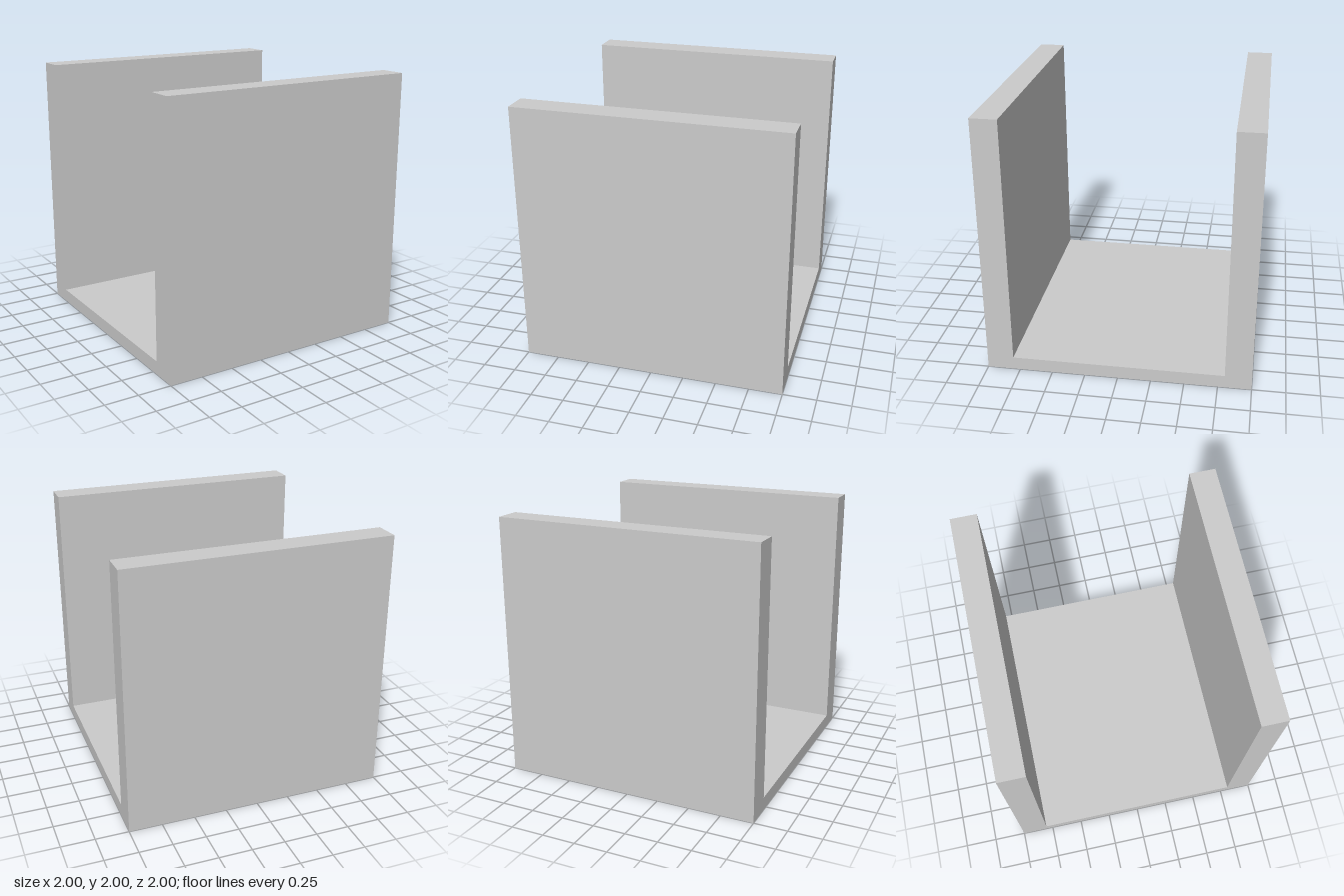
import * as THREE from 'three';

const SIZE = 2;    // outer width, height and depth
const WALL = 0.2;  // side wall thickness
const FLOOR = 0.1; // base thickness

export function createModel() {
  const group = new THREE.Group();
  group.name = 'channelBracket';

  // U-shaped cross-section, seen along the x axis
  const outer = SIZE / 2;
  const inner = outer - WALL;
  const profile = new THREE.Shape([
    [-outer, 0], [outer, 0], [outer, SIZE], [inner, SIZE],
    [inner, FLOOR], [-inner, FLOOR], [-inner, SIZE], [-outer, SIZE],
  ].map(([z, y]) => new THREE.Vector2(z, y)));

  // Extrude the section and turn it to run along x
  const geometry = new THREE.ExtrudeGeometry(profile, { depth: SIZE, bevelEnabled: false });
  geometry.translate(0, 0, -SIZE / 2).rotateY(Math.PI / 2);

  const channel = new THREE.Mesh(geometry, new THREE.MeshStandardMaterial({ color: 0xcccccc }));
  channel.name = 'uChannel';
  group.add(channel);
  return group;
}
